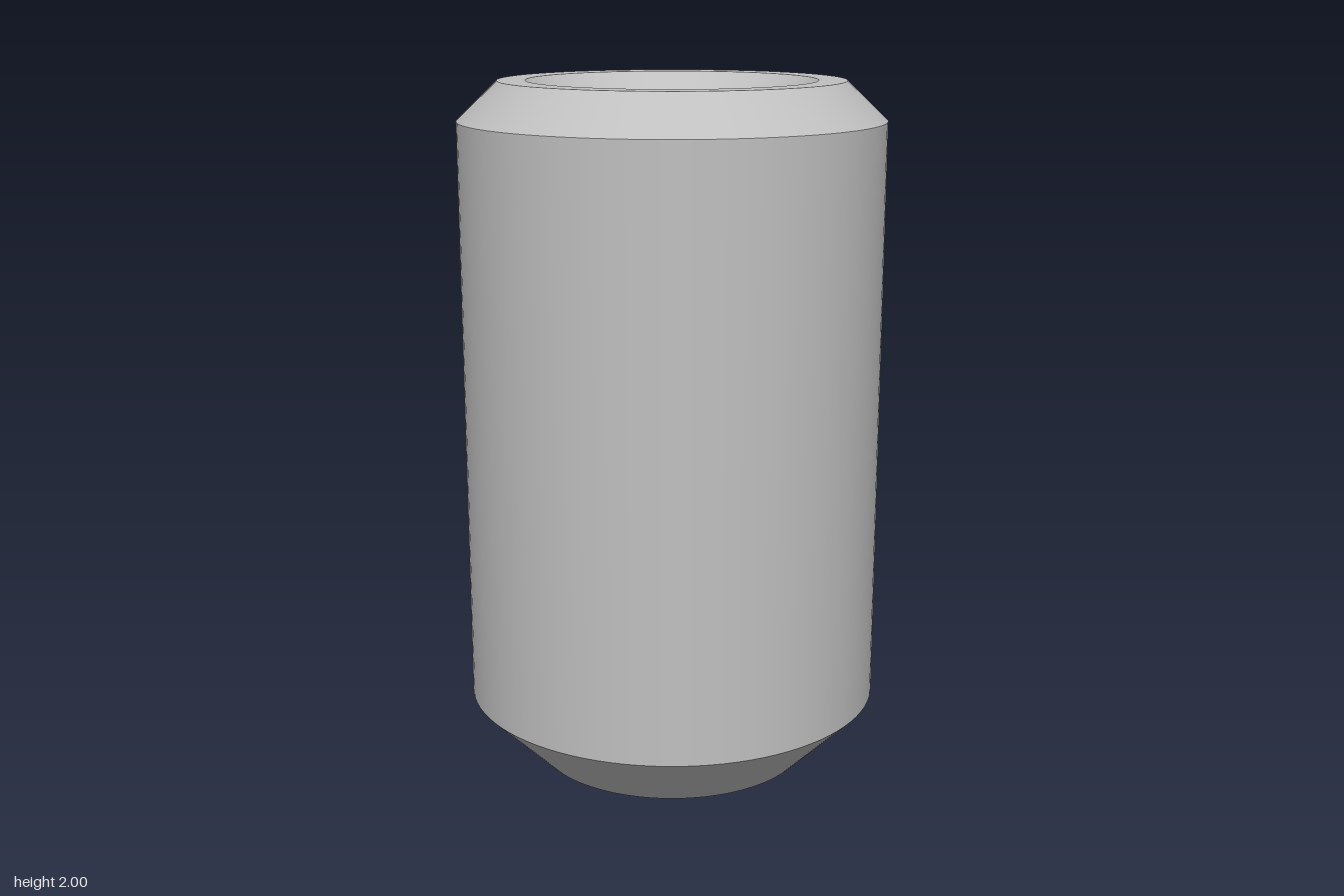
import * as THREE from 'three';

export function createModel() {
  const group = new THREE.Group();
  group.name = 'dowelPin';
  const steel = new THREE.MeshStandardMaterial({ color: 0xc0c0c0 });
  steel.name = 'steel grey';

  // Closed profile from the base centre, up the outside and down into the bore.
  // Each entry names the surface leading to its [radius, height].
  const profile = [
    ['base', 0.41, 0],
    ['bottomChamfer', 0.605, 0.195],
    ['body', 0.605, 1.89],
    ['topChamfer', 0.49, 2],
    ['topRim', 0.41, 2],
    ['countersink', 0.33, 1.92],
    ['boreWall', 0.33, 0.8],
    ['boreFloor', 0, 0.8],
  ];

  // One lathe per surface gives smooth rounds with sharp edges between them
  let from = new THREE.Vector2(0, 0);
  for (const [name, radius, height] of profile) {
    const to = new THREE.Vector2(radius, height);
    const mesh = new THREE.Mesh(new THREE.LatheGeometry([from, to], 96), steel);
    mesh.name = name;
    group.add(mesh);
    from = to;
  }
  return group;
}
